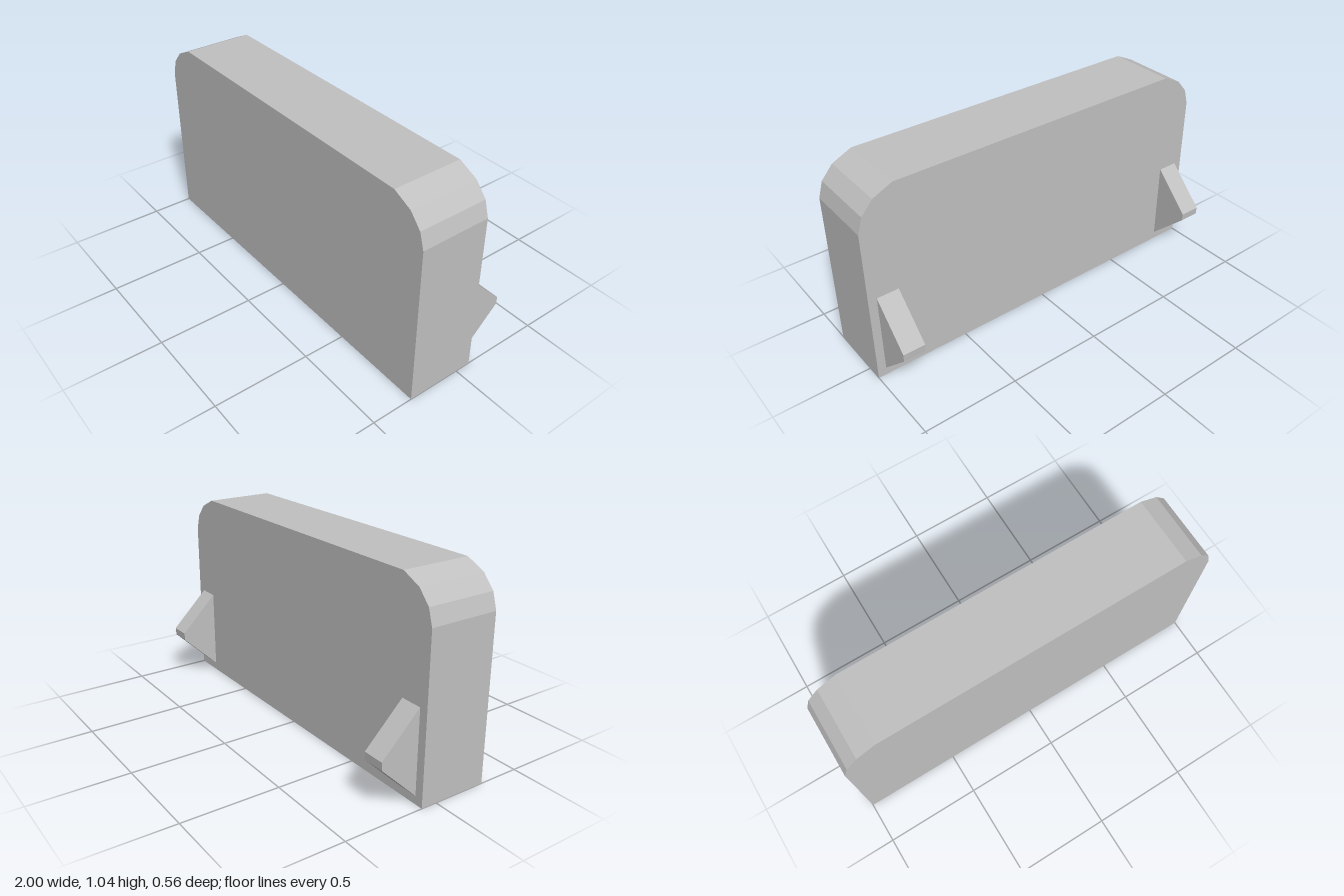
import * as THREE from 'three';

// Extrude a closed outline of [x, y] points along z
function extrude(points, depth) {
  const shape = new THREE.Shape(points.map(([x, y]) => new THREE.Vector2(x, y)));
  return new THREE.ExtrudeGeometry(shape, { depth, bevelEnabled: false });
}

export function createModel() {
  const group = new THREE.Group();
  const grey = new THREE.MeshStandardMaterial({ color: 0xc0c0c0 });
  grey.name = 'light grey';

  // Slab with faceted round upper corners
  const half = [[1, 0], [1, 0.84], [0.975, 0.922], [0.915, 0.99], [0.815, 1.037]];
  const outline = [...half, ...half.map(([x, y]) => [-x, y]).reverse()];
  const panel = new THREE.Mesh(extrude(outline, 0.365), grey);
  panel.name = 'panel';
  panel.position.z = -0.083;
  group.add(panel);

  // Wedge-shaped hooks on the back, one at each side
  const wedge = [[0.083, 0.042], [0.28, 0.233], [0.282, 0.273], [0.083, 0.472]];
  const hookGeometry = extrude(wedge, 0.114).translate(0, 0, -0.057).rotateY(Math.PI / 2);
  for (const side of [-1, 1]) {
    const hook = new THREE.Mesh(hookGeometry, grey);
    hook.name = side > 0 ? 'leftHook' : 'rightHook';
    hook.position.x = side * 0.899;
    group.add(hook);
  }

  return group;
}
